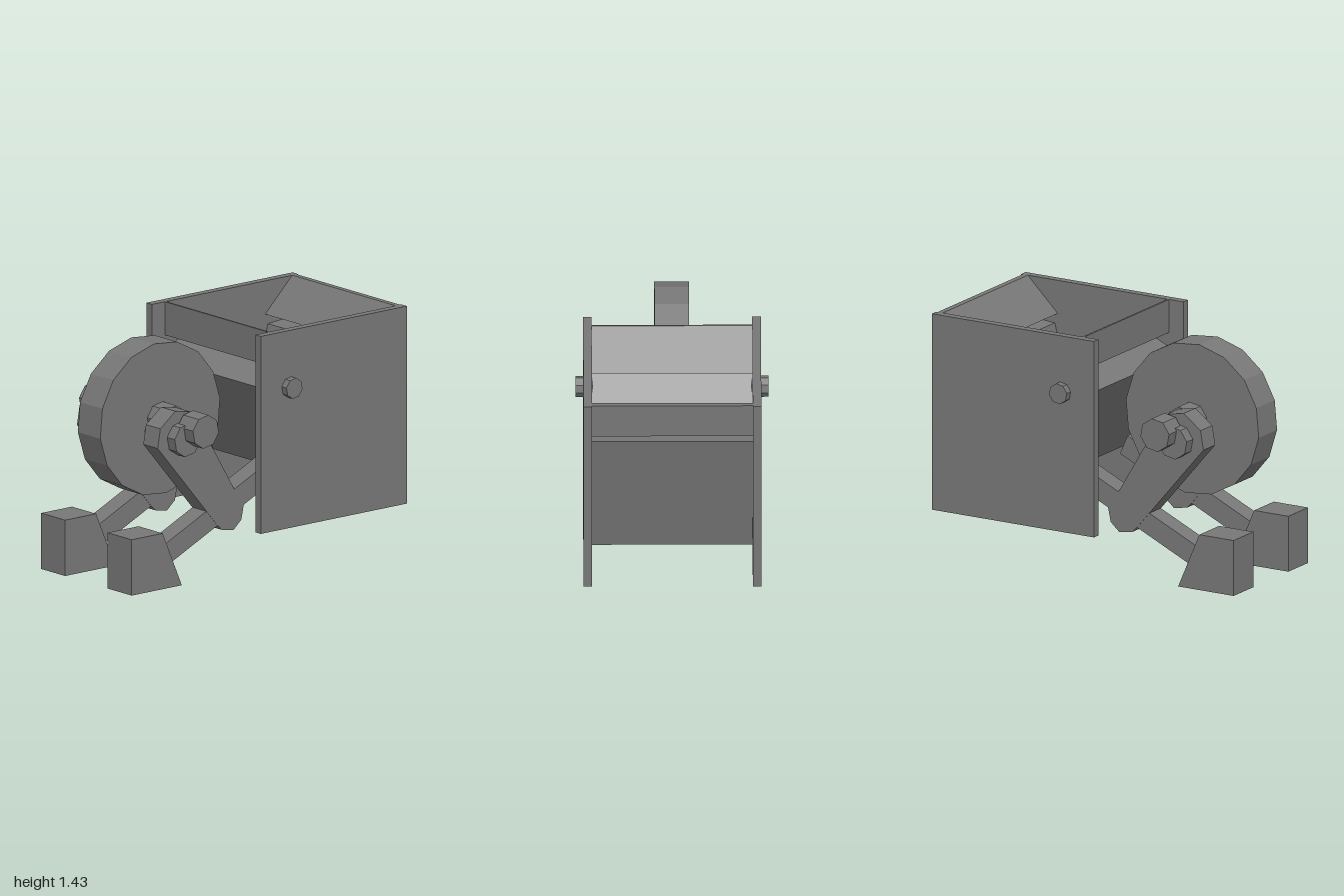
import * as THREE from 'three';

export function createModel() {
  const model = new THREE.Group();
  const grey = new THREE.MeshStandardMaterial({ color: 0x777777 });
  grey.name = 'grey';

  // Extrude a [z, y] outline along x, from x0 to x1
  function prism(name, outline, x0, x1) {
    const shape = new THREE.Shape(outline.map(([z, y]) => new THREE.Vector2(-z, y)));
    const geo = new THREE.ExtrudeGeometry(shape, { depth: x1 - x0, bevelEnabled: false });
    geo.rotateY(Math.PI / 2);
    geo.translate(x0, 0, 0);
    const mesh = new THREE.Mesh(geo, grey);
    mesh.name = name;
    model.add(mesh);
    return mesh;
  }

  // Regular polygon outline; turn is measured from straight up
  function ring(z, y, r, sides, turn) {
    return Array.from({ length: sides }, (_, i) => {
      const a = turn + (i / sides) * Math.PI * 2;
      return [z - Math.sin(a) * r, y + Math.cos(a) * r];
    });
  }

  // Prism on both sides of the model, from |x| = a to |x| = b
  function pair(name, outline, a, b) {
    prism(name + 'Left', outline, a, b);
    prism(name + 'Right', outline, -b, -a);
  }

  // Side panels
  pair('sidePanel', [[0.11, 0.245], [0.11, 1.43], [-1, 1.43], [-1, 0.245]], 0.467, 0.517);

  // Sloping lips at the top of the hopper
  prism('rearLip', [[-0.99, 1.43], [-0.955, 1.43], [-0.75, 1.23], [-0.99, 1.23]], -0.467, 0.467);
  prism('frontLip', [[0.012, 1.43], [0, 1.43], [-0.22, 1.23], [0.012, 1.23]], -0.467, 0.467);

  // Thick-walled tub with a V-shaped inside
  prism('tub', [
    [-0.97, 1.185], [-0.82, 0.425], [-0.51, 0.425], [-0.5, 0.45], [-0.22, 0.54], [0.085, 1.11],
    [-0.09, 1.19], [-0.6, 0.5], [-0.77, 1.17],
  ], -0.467, 0.467);

  // Pivot pin through the panels
  pair('pivotPin', ring(-0.11, 1.09, 0.062, 8, 0.2), 0.46, 0.56);

  // Wheel and cranked axle
  prism('wheel', ring(0.525, 0.925, 0.457, 16, -0.105 + Math.PI / 8 * 2), -0.101, 0.101);
  const axle = ring(0.525, 0.925, 0.1, 8, 0.2);
  pair('axleInner', axle, 0.09, 0.225);
  pair('axleOuter', axle, 0.375, 0.515);
  pair('crankPin', ring(0.595, 0.87, 0.1, 8, 0.2), 0.16, 0.433);

  // Connecting arms
  pair('connectingArm', [
    [0.765, 0.835], [0.745, 0.95], [0.63, 1.037], [0.515, 1.015], [0.43, 0.91],
    [0.18, 0.49], [0.11, 0.4], [0.13, 0.305], [0.19, 0.252], [0.28, 0.268], [0.32, 0.31],
  ], 0.235, 0.365);

  // Legs running back into the tub
  pair('leg', [[0.71, 0.25], [0.66, 0.135], [-0.18, 0.525], [-0.13, 0.64]], 0.237, 0.363);

  // Feet
  pair('foot', [[1, 0], [1, 0.335], [0.765, 0.335], [0.62, 0]], 0.192, 0.41);

  return model;
}
